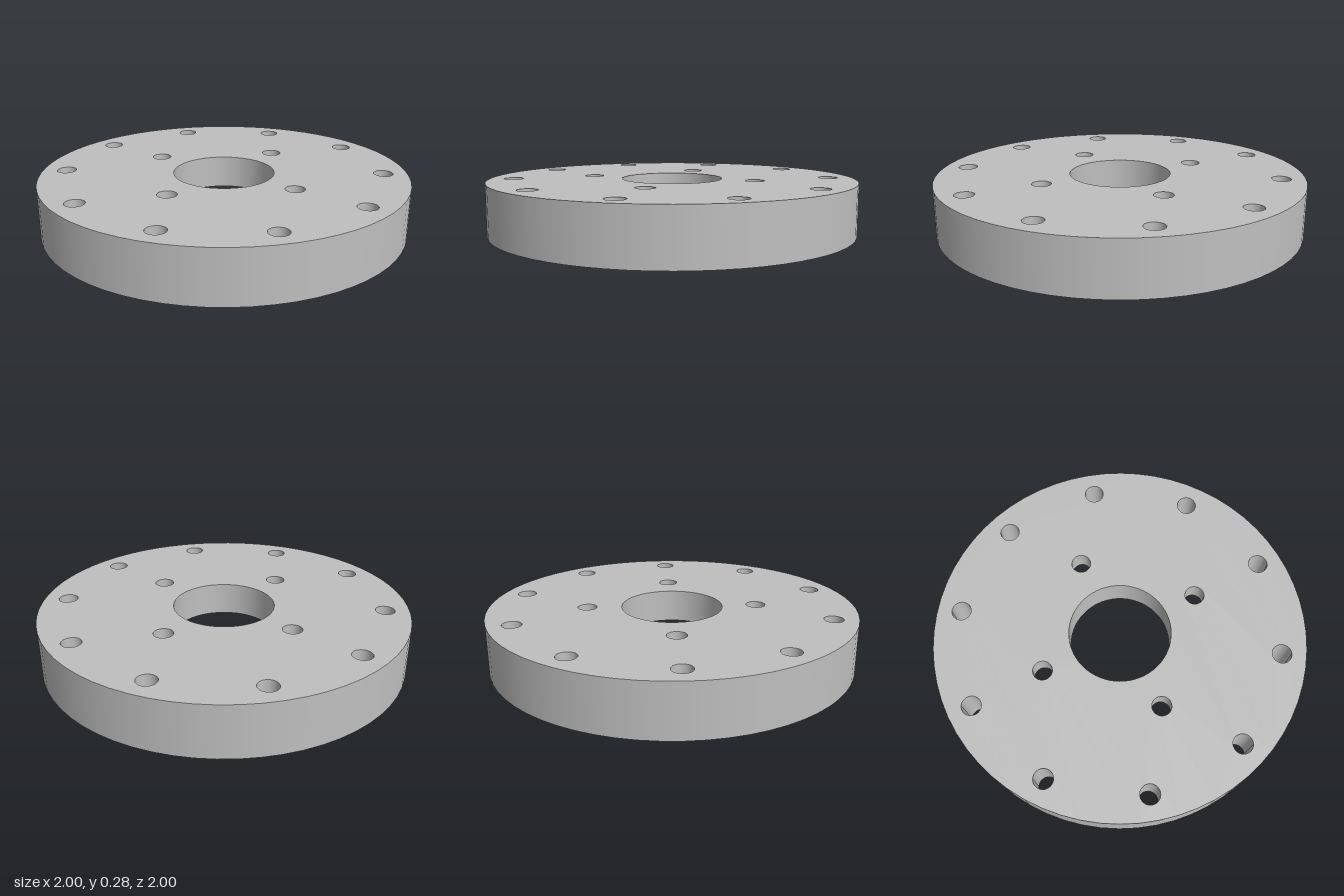
import * as THREE from 'three';

const SEGMENTS = 64;
const HEIGHT = 0.28, RECESS_Y = 0.1, COUNTERBORE_Y = 0.165;
const OUTER_R = 1, RECESS_R = 0.727, BORE_R = 0.275, HOLE_R = 0.052, COUNTERBORE_R = 0.109;

// Evenly spaced hole centres [x, z] on a bolt circle, starting on the z axis
function boltCircle(count, radius) {
  return Array.from({ length: count }, (_, i) => {
    const a = (i / count) * Math.PI * 2;
    return [Math.sin(a) * radius, Math.cos(a) * radius];
  });
}

export function createModel() {
  const group = new THREE.Group();
  const steel = new THREE.MeshStandardMaterial({ color: 0xbfbfbf });
  steel.name = 'grey steel';

  const add = (name, geometry, x = 0, y = 0, z = 0) => {
    const mesh = new THREE.Mesh(geometry, steel);
    mesh.name = name;
    mesh.position.set(x, y, z);
    group.add(mesh);
  };

  // Flat disc with round holes, each given as [x, z, radius]
  const face = (name, radius, holes, y, up, x = 0, z = 0) => {
    const shape = new THREE.Shape().absarc(0, 0, radius, 0, Math.PI * 2);
    for (const [hx, hz, hr] of holes) {
      shape.holes.push(new THREE.Path().absarc(hx, hz, hr, 0, Math.PI * 2, true));
    }
    const geometry = new THREE.ShapeGeometry(shape, SEGMENTS / 2);
    geometry.rotateX(up ? -Math.PI / 2 : Math.PI / 2);
    add(name, geometry, x, y, z);
  };

  // Round wall: from low to high it faces outward, from high to low inward
  const wall = (name, radius, from, to, x = 0, z = 0) => {
    const profile = [new THREE.Vector2(radius, from), new THREE.Vector2(radius, to)];
    add(name, new THREE.LatheGeometry(profile, SEGMENTS), x, 0, z);
  };

  const rimBolts = boltCircle(10, 0.87);
  const hubBolts = boltCircle(4, 0.462);
  const sized = (centres, r) => centres.map(([x, z]) => [x, z, r]);
  const bore = [0, 0, BORE_R];

  // Flat faces of the flange
  face('topFace', OUTER_R, [bore, ...sized(rimBolts, HOLE_R), ...sized(hubBolts, HOLE_R)], HEIGHT, true);
  face('bottomRim', OUTER_R, [[0, 0, RECESS_R], ...sized(rimBolts, HOLE_R)], 0, false);
  face('recessFloor', RECESS_R, [bore, ...sized(hubBolts, COUNTERBORE_R)], RECESS_Y, false);

  // Outer edge, recess and central bore
  wall('outerEdge', OUTER_R, 0, HEIGHT);
  wall('recessWall', RECESS_R, RECESS_Y, 0);
  wall('centralBore', BORE_R, HEIGHT, RECESS_Y);

  // Plain through holes around the rim
  for (const [x, z] of rimBolts) wall('rimBoltHole', HOLE_R, HEIGHT, 0, x, z);

  // Inner holes, counterbored from below
  for (const [x, z] of hubBolts) {
    wall('hubBoltHole', HOLE_R, HEIGHT, COUNTERBORE_Y, x, z);
    wall('counterboreWall', COUNTERBORE_R, COUNTERBORE_Y, RECESS_Y, x, z);
    face('counterboreFloor', COUNTERBORE_R, [[0, 0, HOLE_R]], COUNTERBORE_Y, false, x, z);
  }
  return group;
}
